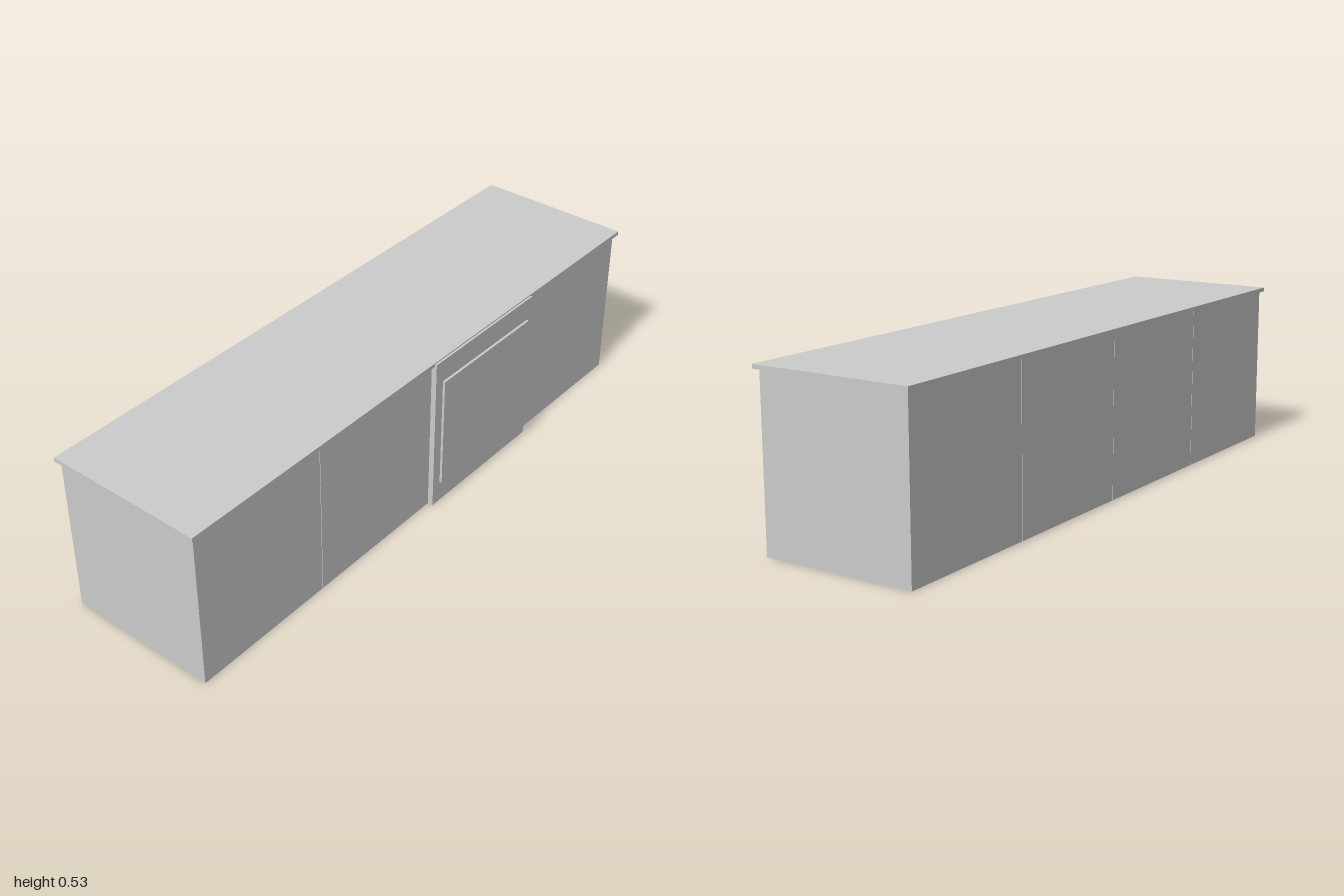
import * as THREE from 'three';

export function createModel() {
  const group = new THREE.Group();
  const material = new THREE.MeshStandardMaterial({ color: 0xcccccc, flatShading: true });

  // Box given by its lower and upper limits on each axis
  function box(name, [x0, x1], [y0, y1], [z0, z1]) {
    const mesh = new THREE.Mesh(new THREE.BoxGeometry(x1 - x0, y1 - y0, z1 - z0), material);
    mesh.position.set((x0 + x1) / 2, (y0 + y1) / 2, (z0 + z1) / 2);
    mesh.name = name;
    group.add(mesh);
  }

  // Row of base units, with the appliance behind its door
  const bodyX = [-0.256, 0.238];
  const units = [
    ['rearCabinet', -0.985, -0.491],
    ['applianceBody', -0.489, -0.001],
    ['middleCabinet', 0, 0.499],
    ['frontCabinet', 0.501, 0.988],
  ];
  for (const [name, z0, z1] of units) box(name, bodyX, [0, 0.519], [z0, z1]);

  // Overhanging worktop in three flush lengths
  const joints = [-1, -0.495, 0, 1];
  for (let i = 0; i < 3; i++) {
    box('worktop' + (i + 1), [-0.268, 0.249], [0.519, 0.532], [joints[i], joints[i + 1]]);
  }

  // Appliance door and the thin panel standing just off it
  box('applianceDoor', [0.238, 0.256], [0.001, 0.528], [-0.49, 0]);
  box('doorPanel', [0.259, 0.267], [0.078, 0.457], [-0.461, -0.029]);

  return group;
}
